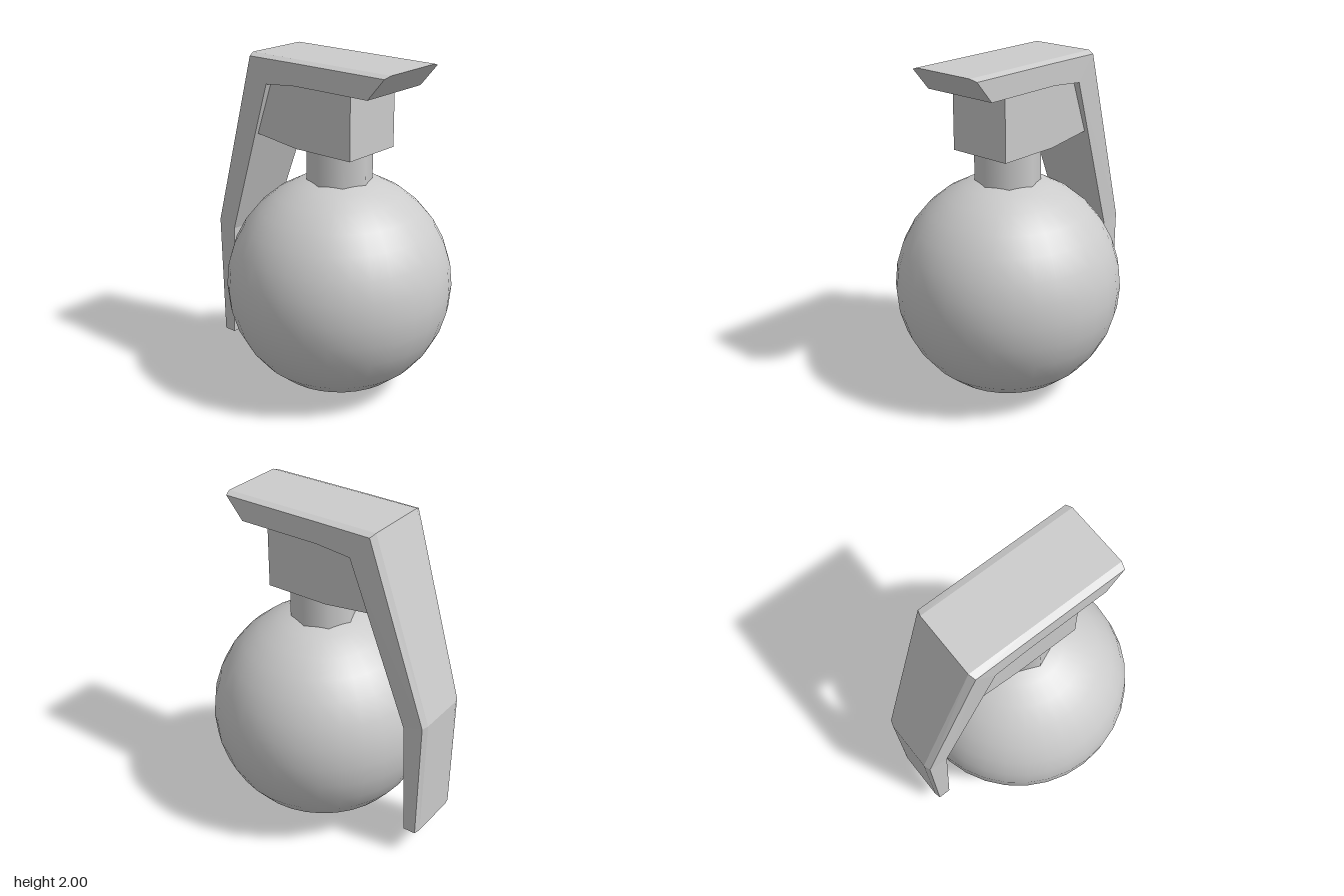
import * as THREE from 'three';

const mat = new THREE.MeshStandardMaterial({ color: 0xcccccc });
const flatMat = new THREE.MeshStandardMaterial({ color: 0xcccccc, flatShading: true });
const CENTRE_Z = 0.077;

// Bent solid strip with chamfered outer edges, lofted through cross-sections.
// Each station: outer z, outer y, inner z, inner y, half width.
function leverGeometry(stations) {
  const sections = stations.map(([oz, oy, iz, iy, w]) => {
    const ez = oz + (iz - oz) * 0.1, ey = oy + (iy - oy) * 0.1, c = w - 0.04;
    return [[-w, iy, iz], [w, iy, iz], [w, ey, ez], [c, oy, oz], [-c, oy, oz], [-w, ey, ez]];
  });
  const pos = [];
  const tri = (a, b, c) => pos.push(...a, ...b, ...c);
  const n = 6, first = sections[0], last = sections[sections.length - 1];
  for (let i = 0; i < sections.length - 1; i++) {
    for (let k = 0; k < n; k++) {
      const a = sections[i][k], b = sections[i][(k + 1) % n];
      const d = sections[i + 1][k], c = sections[i + 1][(k + 1) % n];
      tri(a, d, c);
      tri(a, c, b);
    }
  }
  // end caps
  for (let k = 1; k < n - 1; k++) {
    tri(first[0], first[k], first[k + 1]);
    tri(last[0], last[k + 1], last[k]);
  }
  const geo = new THREE.BufferGeometry();
  geo.setAttribute('position', new THREE.Float32BufferAttribute(pos, 3));
  geo.computeVertexNormals();
  return geo;
}

export function createModel() {
  const group = new THREE.Group();
  const add = (name, geo, material) => {
    const mesh = new THREE.Mesh(geo, material);
    mesh.name = name;
    group.add(mesh);
    return mesh;
  };

  // round body
  add('body', new THREE.SphereGeometry(0.663, 32, 16), mat).position.set(0, 0.667, CENTRE_Z);

  // short neck
  add('neck', new THREE.CylinderGeometry(0.19, 0.19, 0.26, 8), mat).position.set(0, 1.37, CENTRE_Z);

  // head block, side profile in (z, y) extruded across x
  const profile = [[0.31, 1.88], [-0.29, 1.88], [-0.29, 1.83], [-0.385, 1.53], [-0.36, 1.525], [-0.08, 1.49], [0.31, 1.49]];
  const headGeo = new THREE.ExtrudeGeometry(
    new THREE.Shape(profile.map(([z, y]) => new THREE.Vector2(z, y))),
    { depth: 0.39, bevelEnabled: false });
  headGeo.translate(0, 0, -0.195).rotateY(-Math.PI / 2);
  add('head', headGeo, flatMat);

  // lever over the head and down the back
  add('lever', leverGeometry([
    [0.575, 2.0, 0.455, 1.86, 0.235],
    [-0.05, 2.0, -0.05, 1.86, 0.235],
    [-0.4, 2.0, -0.265, 1.84, 0.235],
    [-0.738, 0.92, -0.605, 0.88, 0.19],
    [-0.72, 0.17, -0.635, 0.17, 0.19],
  ]), flatMat);

  return group;
}
